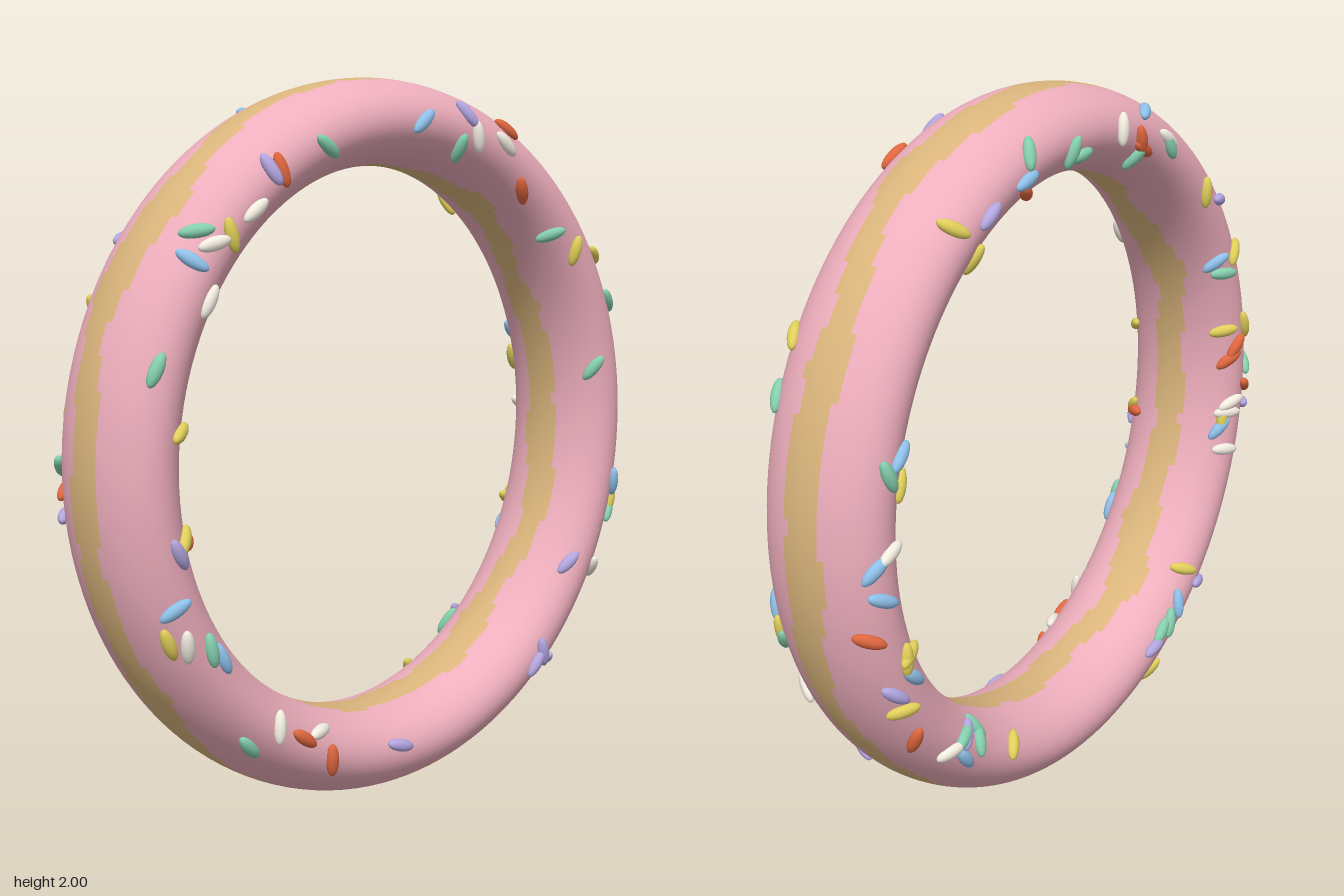
import * as THREE from 'three';

const RING = 0.88, HALF_WIDTH = 0.12, HALF_DEPTH = 0.18;

const COLORS = {
  orange: 0xe0673f, green: 0x85cfae, blue: 0x8fc1ea,
  purple: 0xb3a6e0, yellow: 0xe0cf5a, white: 0xf2ece0,
};

// Front sprinkles by colour: [x, y, tilt in degrees]
const FRONT = {
  orange: [[0.41, 1.86, -35], [-0.49, 1.75, -75], [0.46, 1.69, -60], [-0.79, 0.83, 15],
    [-0.42, 0.25, -35], [-0.32, 0.17, -85]],
  green: [[-0.33, 1.81, -35], [0.19, 1.81, 90], [-0.74, 1.6, 10], [-0.89, 1.27, 65], [0.6, 1.56, 25],
    [0.88, 1.35, -50], [0.81, 1.15, 60], [0.9, 0.7, 50], [-0.74, 0.55, -80], [-0.59, 0.26, -45]],
  blue: [[0.03, 1.88, 40], [-0.77, 1.53, -40], [-0.85, 0.67, 35], [-0.7, 0.52, -65], [0.9, 0.79, 100]],
  purple: [[0.22, 1.9, -55], [-0.52, 1.75, -65], [-0.84, 0.81, -60], [0.7, 0.56, 40],
    [0.56, 0.31, -75], [0.53, 0.28, 50], [0.63, 0.27, -50], [-0.05, 0.15, -15]],
  yellow: [[-0.66, 1.59, -75], [-0.82, 1.11, 25], [0.69, 1.51, 80], [0.82, 1.49, -35],
    [-0.81, 0.84, 50], [-0.85, 0.58, -65], [0.91, 0.73, 75]],
  white: [[0.25, 1.84, -80], [0.37, 1.82, -45], [-0.58, 1.65, 35], [-0.71, 1.57, 15], [-0.73, 1.43, 60],
    [-0.81, 0.57, -80], [-0.51, 0.3, 80], [-0.35, 0.25, 5], [0.82, 0.53, -65]],
};

// Back sprinkles gather in loose clusters: [ring angle in degrees, count]
const BACK = [[10, 6], [61, 6], [102, 9], [145, 5], [180, 12], [237, 7], [297, 7], [335, 7]];

function seeded(seed) {
  return () => (seed = (seed * 16807) % 2147483647) / 2147483647;
}

// Wavy half-width of the bare dough band at a ring angle
function bandWidth(a, side) {
  return 0.05 + 0.014 * Math.sin(5 * a + 1.4 + side) + 0.013 * Math.sin(9 * a + 0.8 - 2 * side)
    + 0.006 * Math.sin(23 * a + 3 * side);
}

// One oval-section ring whose faces are shared out between icing and dough
function ringMeshes() {
  const torus = new THREE.TorusGeometry(RING, HALF_WIDTH, 64, 144);
  torus.scale(1, 1, HALF_DEPTH / HALF_WIDTH);
  const pos = torus.attributes.position, index = torus.index.array;
  const icing = [], dough = [];
  for (let q = 0; q < index.length; q += 6) {
    const quad = Array.from(index.slice(q, q + 6));
    const c = new THREE.Vector3(), v = new THREE.Vector3();
    quad.forEach((i) => c.add(v.fromBufferAttribute(pos, i)));
    c.divideScalar(6);
    const bare = Math.abs(c.z) < bandWidth(Math.atan2(c.y, c.x), Math.sign(c.z));
    (bare ? dough : icing).push(...quad);
  }
  return [['icing', icing, 0xeeaebd], ['dough', dough, 0xdab57c]].map(([name, faces, color]) => {
    const part = torus.clone();
    part.clearGroups();
    part.setIndex(faces);
    const mesh = new THREE.Mesh(part, new THREE.MeshStandardMaterial({ color }));
    mesh.name = name;
    mesh.position.y = 1;
    return mesh;
  });
}

export function createModel() {
  const model = new THREE.Group();
  model.name = 'ringDoughnut';
  model.add(...ringMeshes());

  const grain = new THREE.SphereGeometry(1, 14, 10);
  grain.rotateZ(Math.PI / 2);
  grain.scale(0.047, 0.0185, 0.017);
  const materials = {};
  for (const name in COLORS) materials[name] = new THREE.MeshStandardMaterial({ color: COLORS[name] });

  // Lays a sprinkle flat on the icing; face is 1 for front, -1 for back
  function addSprinkle(group, color, x, y, tilt, face) {
    const r = Math.hypot(x, y - 1), a = Math.atan2(y - 1, x);
    const c = THREE.MathUtils.clamp((r - RING) / HALF_WIDTH, -0.9, 0.9);
    const s = face * Math.sqrt(1 - c * c);
    const out = c / HALF_WIDTH;
    const normal = new THREE.Vector3(Math.cos(a) * out, Math.sin(a) * out, s / HALF_DEPTH).normalize();
    const t = THREE.MathUtils.degToRad(tilt);
    const along = new THREE.Vector3(Math.cos(t), Math.sin(t), 0);
    along.z = -(along.x * normal.x + along.y * normal.y) / normal.z;
    along.normalize();
    const across = normal.clone().cross(along);

    const mesh = new THREE.Mesh(grain, materials[color]);
    mesh.name = color + 'Sprinkle';
    mesh.quaternion.setFromRotationMatrix(new THREE.Matrix4().makeBasis(along, across, normal));
    mesh.position.set(x, y, s * HALF_DEPTH).addScaledVector(normal, 0.004);
    group.add(mesh);
  }

  const front = new THREE.Group();
  front.name = 'frontSprinkles';
  for (const color in FRONT) {
    for (const [x, y, tilt] of FRONT[color]) addSprinkle(front, color, x, y, tilt, 1);
  }

  const back = new THREE.Group();
  back.name = 'backSprinkles';
  const random = seeded(4217), names = Object.keys(COLORS);
  for (const [angle, count] of BACK) {
    for (let i = 0; i < count; i++) {
      const a = THREE.MathUtils.degToRad(angle + (random() - 0.5) * 36);
      const r = RING + (random() - 0.5) * 0.14;
      const color = names[Math.floor(random() * names.length)];
      addSprinkle(back, color, r * Math.cos(a), 1 + r * Math.sin(a), random() * 180, -1);
    }
  }

  model.add(front, back);
  return model;
}
